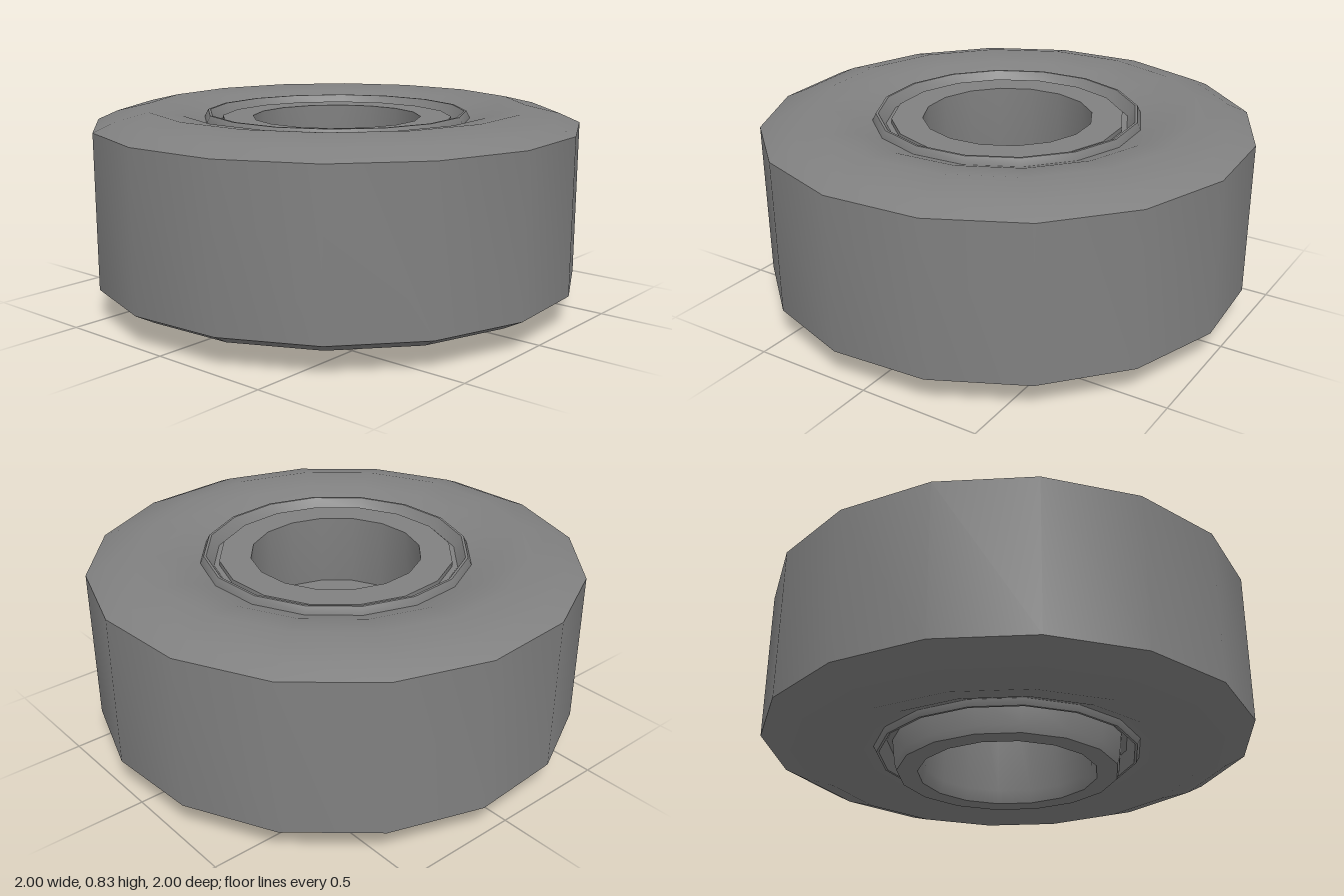
import * as THREE from 'three';
import { toCreasedNormals } from 'three/addons/utils/BufferGeometryUtils.js';

const SIDES = 16;
const PHASE = -7.4 * Math.PI / 180;

// Spins a closed [radius, height] loop: up the outside, in over the top,
// down the inside and back out underneath.
function ring(name, loop, material) {
  const points = [...loop, loop[0]].map(([r, y]) => new THREE.Vector2(r, y));
  const lathe = new THREE.LatheGeometry(points, SIDES, PHASE);
  const mesh = new THREE.Mesh(toCreasedNormals(lathe, 0.6), material);
  mesh.name = name;
  return mesh;
}

export function createModel() {
  const material = new THREE.MeshStandardMaterial({ color: 0x808080 });
  const group = new THREE.Group();
  group.name = 'wheel';

  // Tyre with bevelled shoulders and softly dished side walls
  group.add(ring('tyre', [
    [0.54, 0.105], [0.65, 0.06], [0.78, 0.03], [0.925, 0.08],
    [1.0085, 0.125], [1.0085, 0.76],
    [0.925, 0.797], [0.785, 0.83], [0.65, 0.81], [0.54, 0.77],
  ], material));

  // Rim sleeve with a raised lip and a tapered wall at each end
  group.add(ring('rimSleeve', [
    [0.53, 0.075], [0.54, 0.075], [0.555, 0.105], [0.555, 0.775],
    [0.54, 0.805], [0.53, 0.805],
    [0.5, 0.76], [0.47, 0.76], [0.46, 0.13], [0.5, 0.13],
  ], material));

  // Hub tube, standing proud underneath
  group.add(ring('hub', [
    [0.37, 0], [0.455, 0], [0.465, 0.03], [0.478, 0.14], [0.478, 0.78],
    [0.35, 0.78], [0.35, 0.05],
  ], material));

  // Web across the bore with the axle hole
  group.add(ring('axleWeb', [
    [0.2, 0.43], [0.355, 0.43], [0.355, 0.48], [0.2, 0.48],
  ], material));

  return group;
}
